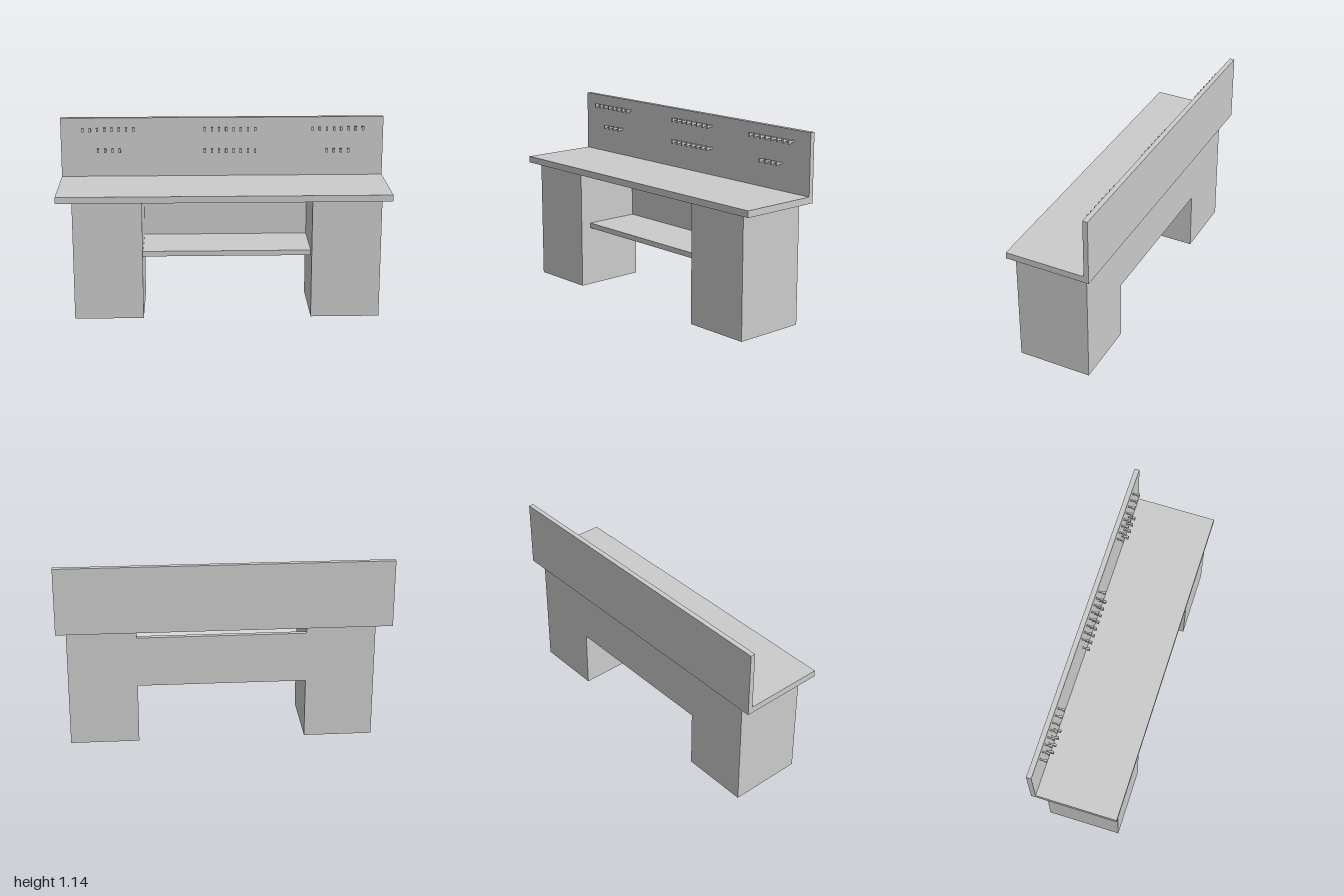
import * as THREE from 'three';

const grey = new THREE.MeshStandardMaterial({ color: 0xcccccc, flatShading: true });

// Box given by its minimum and maximum on each axis
function slab(name, [x0, x1], [y0, y1], [z0, z1]) {
  const mesh = new THREE.Mesh(new THREE.BoxGeometry(x1 - x0, y1 - y0, z1 - z0), grey);
  mesh.name = name;
  mesh.position.set((x0 + x1) / 2, (y0 + y1) / 2, (z0 + z1) / 2);
  return mesh;
}

// Tool peg: a thin shaft out of the board with a taller head on its end
function toolPeg(x, y) {
  const peg = new THREE.Group();
  peg.name = 'toolPeg';
  peg.add(
    slab('pegShaft', [-0.004, 0.004], [-0.006, 0.006], [-0.231, -0.2]),
    slab('pegHead', [-0.0065, 0.0065], [-0.0125, 0.0125], [-0.201, -0.187])
  );
  peg.position.set(x, y, 0);
  return peg;
}

export function createModel() {
  const bench = new THREE.Group();
  bench.name = 'workbench';

  // Worktop and upright board along its rear edge
  bench.add(slab('worktop', [-1, 1], [0.73, 0.77], [-0.23, 0.26]));
  bench.add(slab('backBoard', [-1, 1], [0.73, 1.14], [-0.26, -0.23]));

  // Two cabinets carrying the worktop
  bench.add(slab('rightCabinet', [-0.905, -0.49], [0, 0.73], [-0.215, 0.235]));
  bench.add(slab('leftCabinet', [0.525, 0.94], [0, 0.73], [-0.215, 0.235]));

  // Shelf and rear panel between the cabinets
  bench.add(slab('shelf', [-0.49, 0.525], [0.37, 0.402], [-0.19, 0.165]));
  bench.add(slab('rearPanel', [-0.49, 0.525], [0.37, 0.68], [-0.215, -0.185]));

  // Rows of pegs: first x, last x, height, count
  const rows = [
    [-0.862, -0.549, 1.073, 8],
    [-0.11, 0.202, 1.073, 8],
    [0.557, 0.87, 1.073, 8],
    [-0.77, -0.636, 0.941, 4],
    [-0.11, 0.202, 0.936, 8],
    [0.647, 0.781, 0.934, 4],
  ];
  for (const [x0, x1, y, count] of rows) {
    const row = new THREE.Group();
    row.name = 'pegRow';
    for (let i = 0; i < count; i++) {
      row.add(toolPeg(x0 + ((x1 - x0) * i) / (count - 1), y));
    }
    bench.add(row);
  }
  return bench;
}
